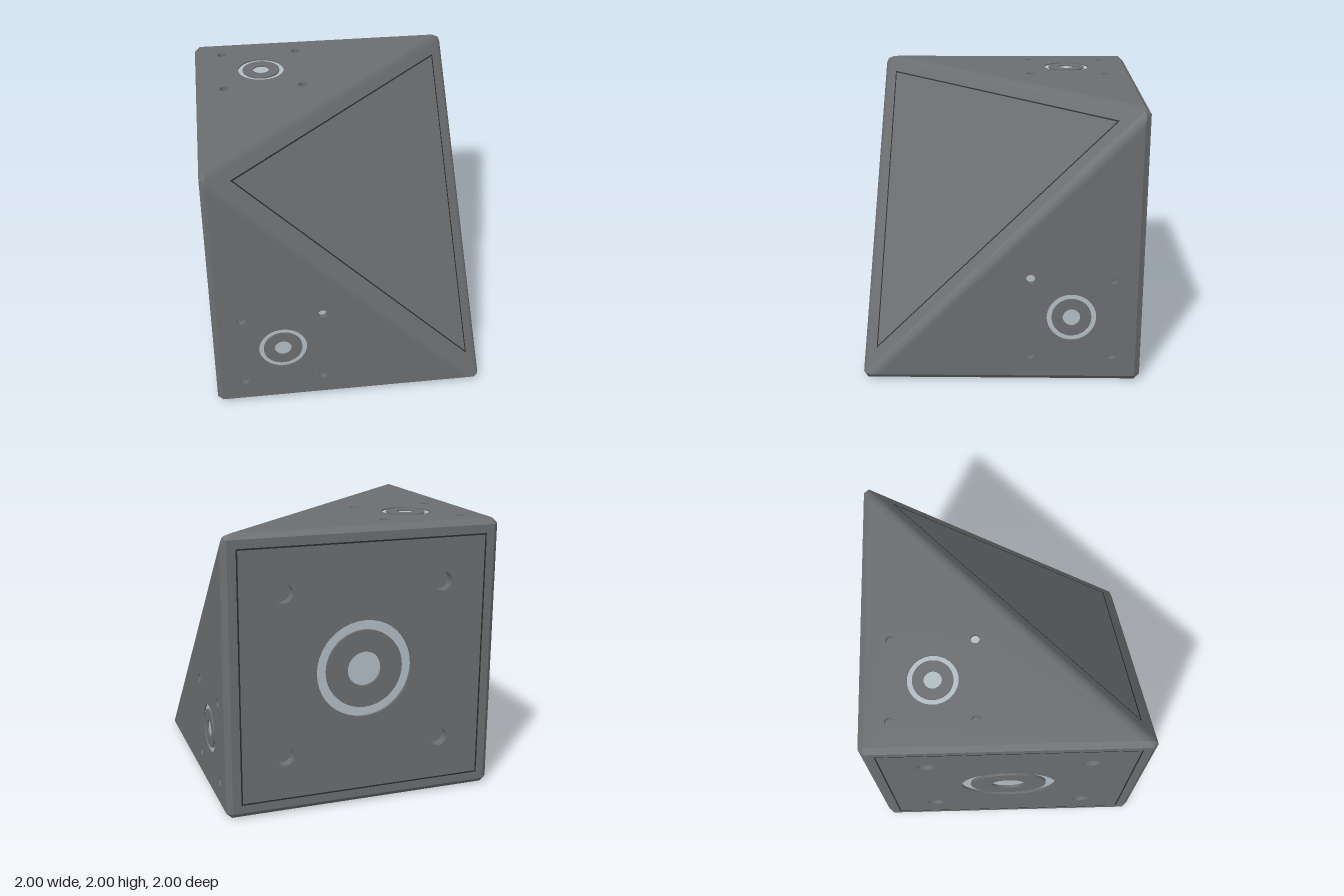
import * as THREE from 'three';
import { toCreasedNormals } from 'three/addons/utils/BufferGeometryUtils.js';
import { ConvexGeometry } from 'three/addons/geometries/ConvexGeometry.js';

const E = 0.96;               // flat face extent, leaving a small chamfer
const T = 0.05;               // set-back of the rounded diagonal edges
const SLOPE = Math.acos(1 / Math.sqrt(3));
const R = T / Math.tan(SLOPE / 2);
const TIP = E - Math.SQRT2 * T;
const AXIS = new THREE.Vector3(1, 1, 1).normalize();

const mat = (name, color) => {
  const m = new THREE.MeshStandardMaterial({ color, side: THREE.DoubleSide });
  m.name = name;
  return m;
};

function add(parent, name, geo, material, x = 0, y = 0, z = 0) {
  const m = new THREE.Mesh(geo, material);
  m.name = name;
  m.position.set(x, y, z);
  parent.add(m);
  return m;
}

// Chamfered cube with one corner sliced off; the flat axis faces are left open
function shellGeometry() {
  const pts = [];
  const cycle = (x, y, z) => pts.push(
    new THREE.Vector3(x, y, z), new THREE.Vector3(z, x, y), new THREE.Vector3(y, z, x));
  for (const x of [-E, E]) for (const y of [-E, E]) cycle(x, y, -1);
  cycle(-E, -E, 1);
  const n = 3;
  for (let i = 0; i <= n; i++) {
    const a = SLOPE * i / n;
    const c = (-T + R * Math.sin(a)) / Math.SQRT2;
    const z = i === 0 ? 1 : 1 - R + R * Math.cos(a);
    const limit = 1 - (T * 2 / Math.sqrt(6)) * i / n;
    const h = Math.min(1 + E - z + c, limit - c, 0.98);
    cycle(c + h, c - h, z);
    cycle(c - h, c + h, z);
  }
  const hull = toCreasedNormals(new ConvexGeometry(pts), 0.5);
  const p = hull.attributes.position.array, nn = hull.attributes.normal.array;
  const pos = [], nor = [];
  for (let i = 0; i < p.length; i += 9) {
    const flat = [0, 1, 2].some(k => [1, -1].some(s =>
      [0, 3, 6].every(j => Math.abs(p[i + j + k] - s) < 1e-5)));
    if (flat) continue;
    for (let j = 0; j < 9; j++) { pos.push(p[i + j]); nor.push(nn[i + j]); }
  }
  const g = new THREE.BufferGeometry();
  g.setAttribute('position', new THREE.Float32BufferAttribute(pos, 3));
  g.setAttribute('normal', new THREE.Float32BufferAttribute(nor, 3));
  return g;
}

export function createModel() {
  const body = mat('darkGrey', 0x6b6d70);
  const metal = mat('paleMetal', 0xb2bdc4);
  const seam = mat('seamBlack', 0x2a2b2d);

  const model = new THREE.Group();
  model.name = 'cutCornerCube';
  const cube = new THREE.Group();
  cube.name = 'cube';
  cube.position.y = 1;
  model.add(cube);
  add(cube, 'shell', shellGeometry(), body);

  const wall = (parent, name, r, depth, x, y) => {
    const g = new THREE.CylinderGeometry(r, r, depth, 40, 1, true).rotateX(Math.PI / 2);
    add(parent, name, g, body, x, y, -depth / 2);
  };

  // Flat face with a recessed ring, a centre stud and four bolt holes
  function face(parent, name, corners, cx, cy, s) {
    const g = new THREE.Group();
    g.name = name;
    parent.add(g);
    const ro = 0.175 * s, ri = 0.14 * s, rc = 0.062 * s, rb = 0.033 * s;
    const depth = 0.01 * s, boltDepth = 0.035 * s;
    const shape = new THREE.Shape(corners.map(c => new THREE.Vector2(...c)));
    const cut = (x, y, r) => shape.holes.push(new THREE.Path().absarc(x, y, r, 0, Math.PI * 2, true));

    cut(cx, cy, ro);
    for (const sx of [-1, 1]) for (const sy of [-1, 1]) {
      const x = cx + 0.29 * s * sx, y = cy + 0.29 * s * sy;
      cut(x, y, rb);
      wall(g, 'boltHoleWall', rb, boltDepth, x, y);
      const bright = s === 1 && sx > 0 && sy > 0;
      add(g, 'boltHoleFloor', new THREE.CircleGeometry(rb, 24), bright ? metal : body, x, y, -boltDepth);
    }
    add(g, 'facePlate', new THREE.ShapeGeometry(shape, 20), body);

    for (const r of [ro, ri, rc]) wall(g, 'ringWall', r, depth, cx, cy);
    add(g, 'metalRing', new THREE.RingGeometry(ri, ro, 48), metal, cx, cy, -depth);
    add(g, 'innerDisc', new THREE.RingGeometry(rc, ri, 48), body, cx, cy, 0);
    add(g, 'centreStud', new THREE.CircleGeometry(rc, 32), metal, cx, cy, -depth);
    return g;
  }

  // One triangular and one square face, repeated around the cut corner axis
  for (let k = 0; k < 3; k++) {
    const side = new THREE.Group();
    side.name = 'facePair' + (k + 1);
    side.quaternion.setFromAxisAngle(AXIS, k * Math.PI * 2 / 3);
    cube.add(side);
    face(side, 'triangleFace', [[-E, -E], [TIP, -E], [-E, TIP]], -0.5, -0.5, 1).position.z = 1;
    const sq = face(side, 'squareFace', [[-E, -E], [E, -E], [E, E], [-E, E]], 0, 0, 2);
    sq.rotation.y = Math.PI;
    sq.position.z = -1;
    const r = 0.9 * Math.SQRT2;
    add(sq, 'panelSeam', new THREE.RingGeometry(r - 0.015, r, 4, 1, Math.PI / 4), seam, 0, 0, 0.0015);
  }

  // Sloping triangular panel with its seam
  const slope = new THREE.Group();
  slope.name = 'slopingPanel';
  const X = new THREE.Vector3(1, 1, -2).normalize();
  const Y = new THREE.Vector3().crossVectors(AXIS, X);
  slope.quaternion.setFromRotationMatrix(new THREE.Matrix4().makeBasis(X, Y, AXIS));
  slope.position.copy(AXIS).multiplyScalar(1 / Math.sqrt(3));
  cube.add(slope);
  const rad = new THREE.Vector3(0.9, 0.9, -0.8).distanceTo(slope.position);
  // The corner of the triangle points away from the local +x axis reference
  const start = 0;
  add(slope, 'slopePanel', new THREE.CircleGeometry(rad, 3, start), body, 0, 0, 0.001);
  add(slope, 'slopeSeam', new THREE.RingGeometry(rad - 0.02, rad, 3, 1, start), seam, 0, 0, 0.0025);

  return model;
}
